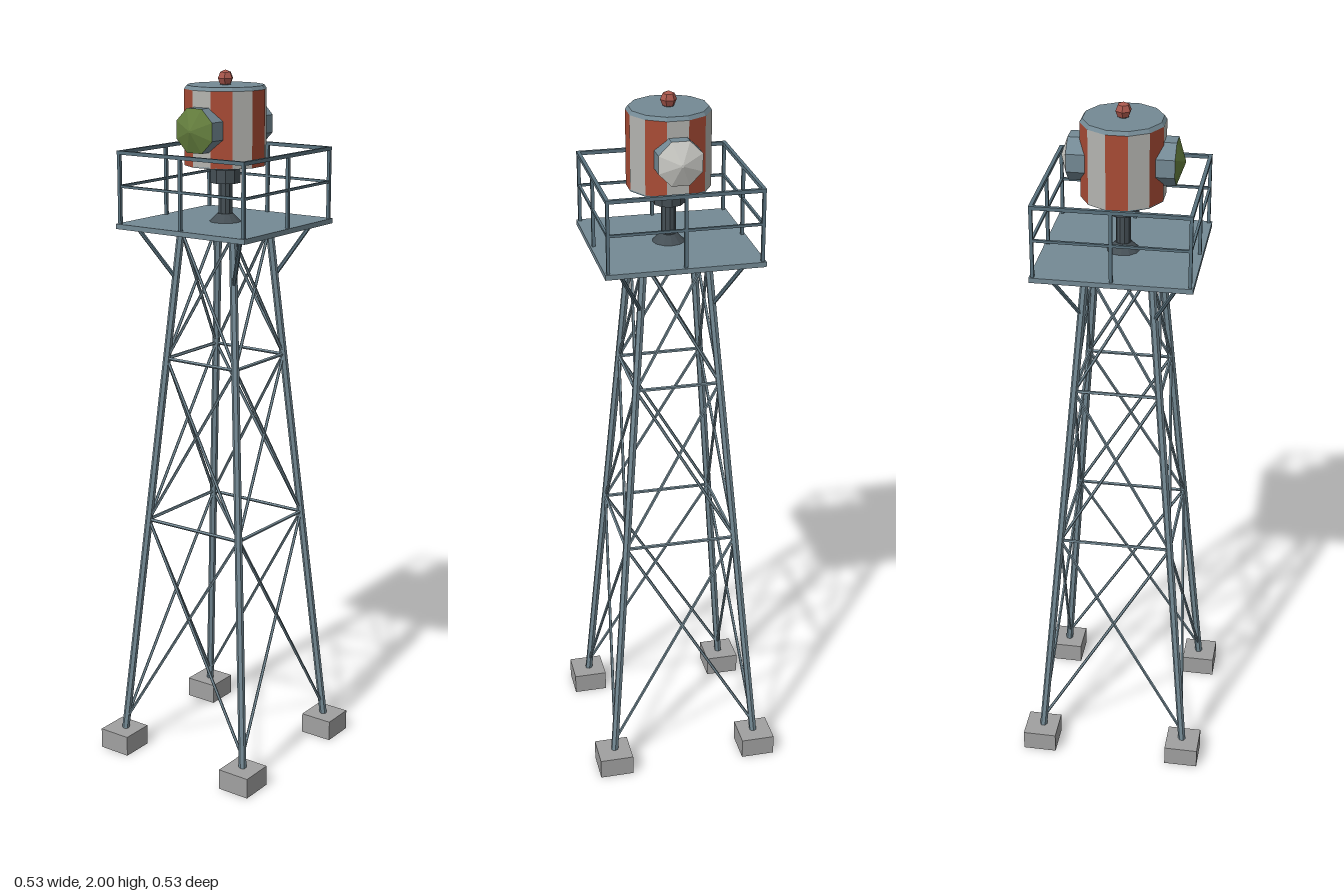
import * as THREE from 'three';

const mat = (name, color, flat = true) => {
  const m = new THREE.MeshStandardMaterial({ color, flatShading: flat });
  m.name = name;
  return m;
};

export function createModel() {
  const steel = mat('blue grey steel', 0x748a95);
  const railSteel = mat('rail steel', 0x5a727e);
  const dark = mat('dark metal', 0x454f55);
  const concrete = mat('concrete', 0xa0a0a0);
  const red = mat('red paint', 0xa94c36);
  const pale = mat('pale paint', 0xb4b4b0);
  const green = mat('green lens', 0x66803f);
  const white = mat('clear lens', 0xcfcfca);
  const beacon = mat('beacon red', 0xa8574c);

  const root = new THREE.Group();
  root.name = 'beaconTower';
  const group = (name) => {
    const g = new THREE.Group();
    g.name = name;
    root.add(g);
    return g;
  };
  const add = (parent, name, geo, material, x = 0, y = 0, z = 0) => {
    const m = new THREE.Mesh(geo, material);
    m.name = name;
    m.position.set(x, y, z);
    parent.add(m);
    return m;
  };
  // Straight round bar between two points
  const bar = (parent, name, a, b, r, material, sides = 6) => {
    const from = new THREE.Vector3(...a), to = new THREE.Vector3(...b);
    const dir = to.clone().sub(from);
    const m = add(parent, name, new THREE.CylinderGeometry(r, r, dir.length(), sides), material);
    m.position.copy(from).add(to).multiplyScalar(0.5);
    m.quaternion.setFromUnitVectors(new THREE.Vector3(0, 1, 0), dir.normalize());
  };

  // Half spacing of the legs at height y
  const spread = (y) => 0.216 - (y - 0.05) * 0.0845;
  const corners = [[1, 1], [1, -1], [-1, -1], [-1, 1]];
  const at = ([sx, sz], y) => [sx * spread(y), y, sz * spread(y)];

  // Footings, legs and platform struts at each corner
  const frame = group('towerFrame');
  for (const c of corners) {
    add(frame, 'footing', new THREE.BoxGeometry(0.098, 0.06, 0.098), concrete, c[0] * 0.218, 0.03, c[1] * 0.218);
    bar(frame, 'leg', at(c, 0.05), at(c, 1.577), 0.011, steel);
    bar(frame, 'platformStrut', at(c, 1.43), [c[0] * 0.175, 1.577, c[1] * 0.175], 0.006, railSteel);
  }

  // Cross bracing and level ties on all four sides
  const levels = [0.09, 0.72, 1.2, 1.565];
  corners.forEach((c, i) => {
    const d = corners[(i + 1) % 4];
    for (let k = 0; k < 3; k++) {
      const lo = levels[k], hi = levels[k + 1];
      bar(frame, 'crossBrace', at(c, lo), at(d, hi), 0.0045, steel, 5);
      bar(frame, 'crossBrace', at(d, lo), at(c, hi), 0.0045, steel, 5);
      bar(frame, 'levelTie', at(c, hi), at(d, hi), 0.005, steel, 5);
    }
  });

  // Platform with railing
  const deck = group('platform');
  add(deck, 'deck', new THREE.BoxGeometry(0.432, 0.014, 0.432), steel, 0, 1.58, 0);
  const R = 0.207;
  for (const x of [-R, 0, R]) for (const z of [-R, 0, R]) {
    if (x || z) add(deck, 'railPost', new THREE.BoxGeometry(0.009, 0.2, 0.009), railSteel, x, 1.683, z);
  }
  for (const y of [1.69, 1.782]) for (const s of [-R, R]) {
    const t = y > 1.7 ? 0.01 : 0.007;
    add(deck, 'rail', new THREE.BoxGeometry(2 * R + t, t, t), railSteel, 0, y, s);
    add(deck, 'rail', new THREE.BoxGeometry(t, t, 2 * R + t), railSteel, s, y, 0);
  }

  // Pedestal with flared base and turning collar
  const stand = group('pedestal');
  add(stand, 'pedestalBase', new THREE.CylinderGeometry(0.022, 0.046, 0.024, 12), dark, 0, 1.598, 0);
  add(stand, 'pedestalColumn', new THREE.CylinderGeometry(0.02, 0.02, 0.16, 10), dark, 0, 1.67, 0);
  add(stand, 'turningCollar', new THREE.CylinderGeometry(0.043, 0.043, 0.038, 10), dark, 0, 1.714, 0);

  // Twelve-sided drum with alternating painted panels
  const head = group('beaconHead');
  const rad = 0.114, step = Math.PI / 6;
  for (let i = 0; i < 12; i++) {
    add(head, 'drumPanel', new THREE.CylinderGeometry(rad, rad, 0.205, 1, 1, true, (i - 0.5) * step, step),
      i % 2 ? red : pale, 0, 1.8475, 0);
  }
  const cap = add(head, 'drumCap', new THREE.CylinderGeometry(0.107, rad, 0.01, 12), steel, 0, 1.955, 0);
  const floor = add(head, 'drumFloor', new THREE.CylinderGeometry(rad, rad, 0.004, 12), steel, 0, 1.746, 0);
  cap.rotation.y = floor.rotation.y = step / 2;

  // Lamps facing front and back
  for (const [s, lens] of [[1, green], [-1, white]]) {
    const lamp = new THREE.Group();
    lamp.name = s > 0 ? 'frontLamp' : 'backLamp';
    lamp.position.y = 1.847;
    lamp.rotation.y = s > 0 ? 0 : Math.PI;
    head.add(lamp);
    const housing = new THREE.CylinderGeometry(0.064, 0.064, 0.06, 8);
    const dome = new THREE.CylinderGeometry(0.004, 0.064, 0.021, 8);
    for (const g of [housing, dome]) g.rotateY(Math.PI / 8).rotateX(Math.PI / 2);
    add(lamp, 'lampHousing', housing, steel, 0, 0, 0.113);
    add(lamp, 'lampLens', dome, lens, 0, 0, 0.1535);
  }

  // Small warning light on top
  add(head, 'warningLightBase', new THREE.CylinderGeometry(0.013, 0.015, 0.016, 6), dark, 0, 1.965, 0);
  const light = add(head, 'warningLight', new THREE.SphereGeometry(0.0225, 6, 4), beacon, 0, 1.9775, 0);
  light.name = 'warningLight';
  return root;
}
